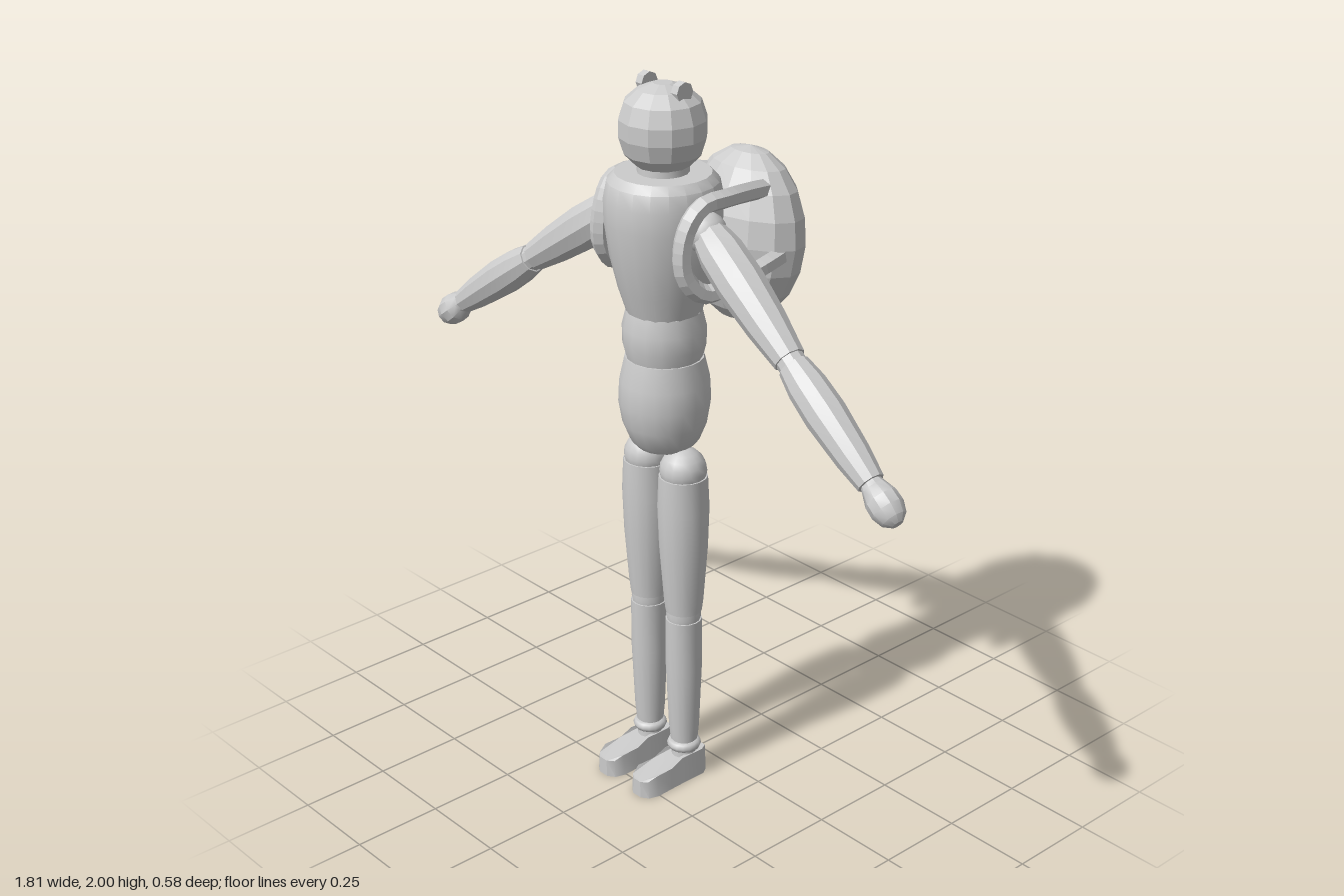
import * as THREE from 'three';
import { toCreasedNormals } from 'three/addons/utils/BufferGeometryUtils.js';

const Z = 0.12; // depth of the body axis
const smooth = new THREE.MeshStandardMaterial({ color: 0xcccccc });
const flat = new THREE.MeshStandardMaterial({ color: 0xcccccc, flatShading: true });
const V = (x, y, z) => new THREE.Vector3(x, y, z);

function part(name, geometry, material = smooth, x = 0, y = 0, z = 0) {
  const mesh = new THREE.Mesh(geometry, material);
  mesh.name = name;
  mesh.position.set(x, y, z);
  return mesh;
}

// Closed turned solid from [radius, height] pairs, bottom to top
function turned(points, sides = 16) {
  const ends = [[0, points[0][1]], ...points, [0, points[points.length - 1][1]]];
  const lathe = new THREE.LatheGeometry(ends.map(([r, y]) => new THREE.Vector2(r, y)), sides);
  return toCreasedNormals(lathe, 0.6);
}

// Turned limb between two points, profile heights given as a fraction 0..1
function limb(name, from, to, profile, sides = 10) {
  const axis = to.clone().sub(from);
  const length = axis.length();
  const mesh = part(name, turned(profile.map(([r, t]) => [r, t * length]), sides));
  mesh.position.copy(from);
  mesh.quaternion.setFromUnitVectors(V(0, 1, 0), axis.normalize());
  return mesh;
}

// Foot: plan outline raised, then the top lowered towards the toes
function footGeometry() {
  const half = [[0.03, 0.065], [0.042, 0.085], [0.042, 0.16], [0.043, 0.2],
    [0.045, 0.255], [0.036, 0.282], [0.016, 0.296]];
  const outline = [...half, ...half.map(([x, z]) => [-x, z]).reverse()];
  const shape = new THREE.Shape(outline.map(([x, z]) => new THREE.Vector2(x, -z)));
  const g = new THREE.ExtrudeGeometry(shape, { depth: 1, bevelEnabled: false });
  g.rotateX(-Math.PI / 2);
  const p = g.attributes.position;
  for (let i = 0; i < p.count; i++) {
    if (p.getY(i) < 0.5) continue;
    const z = p.getZ(i);
    p.setY(i, z < 0.17 ? 0.078 : z < 0.27 ? 0.062 : 0.05);
    p.setX(i, p.getX(i) * 0.88);
  }
  return toCreasedNormals(g, 0.6);
}

function arm(s) {
  const g = new THREE.Group();
  g.name = s > 0 ? 'leftArm' : 'rightArm';
  const shoulder = V(s * 0.165, 1.625, 0.112), elbow = V(s * 0.492, 1.402, 0.148);
  const elbowEnd = V(s * 0.508, 1.391, 0.15), wrist = V(s * 0.797, 1.188, 0.172);
  const tip = V(s * 0.893, 1.116, 0.178);
  g.add(
    part('shoulderJoint', new THREE.SphereGeometry(0.055, 12, 8), smooth, s * 0.15, 1.63, 0.112),
    limb('upperArm', shoulder, elbow, [[0.048, 0], [0.06, 0.15], [0.063, 0.4], [0.055, 0.72], [0.042, 1]]),
    limb('elbowJoint', shoulder.clone().lerp(elbow, 0.96), elbowEnd.clone().lerp(wrist, 0.04), [[0.037, 0], [0.037, 1]]),
    limb('forearm', elbowEnd, wrist, [[0.041, 0], [0.051, 0.18], [0.054, 0.42], [0.046, 0.78], [0.036, 1]]),
    limb('hand', wrist.clone().lerp(tip, -0.05), tip,
      [[0.026, 0], [0.032, 0.15], [0.043, 0.4], [0.044, 0.65], [0.034, 0.88], [0.016, 1]]),
  );
  return g;
}

function leg(s) {
  const g = new THREE.Group();
  g.name = s > 0 ? 'leftLeg' : 'rightLeg';
  const ring = new THREE.TorusGeometry(0.033, 0.015, 8, 16).rotateX(Math.PI / 2);
  g.add(
    part('hipJoint', new THREE.SphereGeometry(0.064, 16, 10), smooth, 0, 0.947, 0),
    part('thigh', turned([[0.05, 0.526], [0.054, 0.56], [0.066, 0.72], [0.07, 0.84], [0.066, 0.932]])),
    part('kneeJoint', turned([[0.044, 0.49], [0.048, 0.51], [0.044, 0.54]])),
    part('shin', turned([[0.038, 0.118], [0.042, 0.16], [0.05, 0.35], [0.05, 0.5]])),
    part('ankle', turned([[0.038, 0.05], [0.033, 0.09], [0.036, 0.13]])),
    part('ankleRing', ring, smooth, 0, 0.1, 0),
    part('foot', footGeometry(), smooth, 0, 0, -Z),
  );
  g.position.set(s * 0.072, 0, Z);
  return g;
}

// Strap loops from the pack over the shoulder, under the arm and back
function strap(s) {
  const path = new THREE.CatmullRomCurve3([
    [0.1, 1.675, -0.14], [0.125, 1.69, -0.07], [0.165, 1.71, 0.06], [0.166, 1.705, 0.145],
    [0.158, 1.64, 0.19], [0.16, 1.54, 0.195], [0.172, 1.478, 0.14],
    [0.182, 1.485, 0.05], [0.178, 1.505, -0.07], [0.165, 1.51, -0.13],
  ].map(([x, y, z]) => V(s * x, y, z)));
  return part(s > 0 ? 'leftStrap' : 'rightStrap', new THREE.TubeGeometry(path, 32, 0.026, 6), flat);
}

export function createModel() {
  const model = new THREE.Group();
  model.name = 'figure';

  // Trunk and head
  model.add(
    part('hips', turned([[0.075, 1.0], [0.093, 1.02], [0.113, 1.07], [0.123, 1.13], [0.12, 1.19], [0.105, 1.256]], 20), smooth, 0, 0, Z),
    part('waist', turned([[0.1, 1.25], [0.11, 1.29], [0.111, 1.34], [0.1, 1.386]]), smooth, 0, 0, Z),
    part('chest', turned([[0.098, 1.38], [0.12, 1.45], [0.141, 1.54], [0.153, 1.63], [0.154, 1.69], [0.145, 1.735], [0.125, 1.756]], 20), smooth, 0, 0, Z),
    part('neck', turned([[0.068, 1.74], [0.066, 1.785]]), smooth, 0, 0, Z),
    part('head', turned([[0.07, 1.774], [0.1, 1.805], [0.114, 1.85], [0.114, 1.895], [0.099, 1.94], [0.065, 1.97], [0.025, 1.985]], 12), flat, 0, 0, Z),
  );

  // Backpack, leaning back slightly at the top
  const pack = part('backpack', new THREE.SphereGeometry(1, 14, 10), flat, 0, 1.525, -0.16);
  pack.scale.set(0.195, 0.237, 0.131);
  pack.rotation.x = -0.09;
  model.add(pack);

  // Mirrored parts
  for (const s of [1, -1]) {
    const ear = new THREE.CylinderGeometry(0.027, 0.027, 0.023, 8).rotateZ(Math.PI / 2);
    model.add(arm(s), leg(s), strap(s), part('ear', ear, flat, s * 0.066, 1.973, 0.115));
  }
  return model;
}
